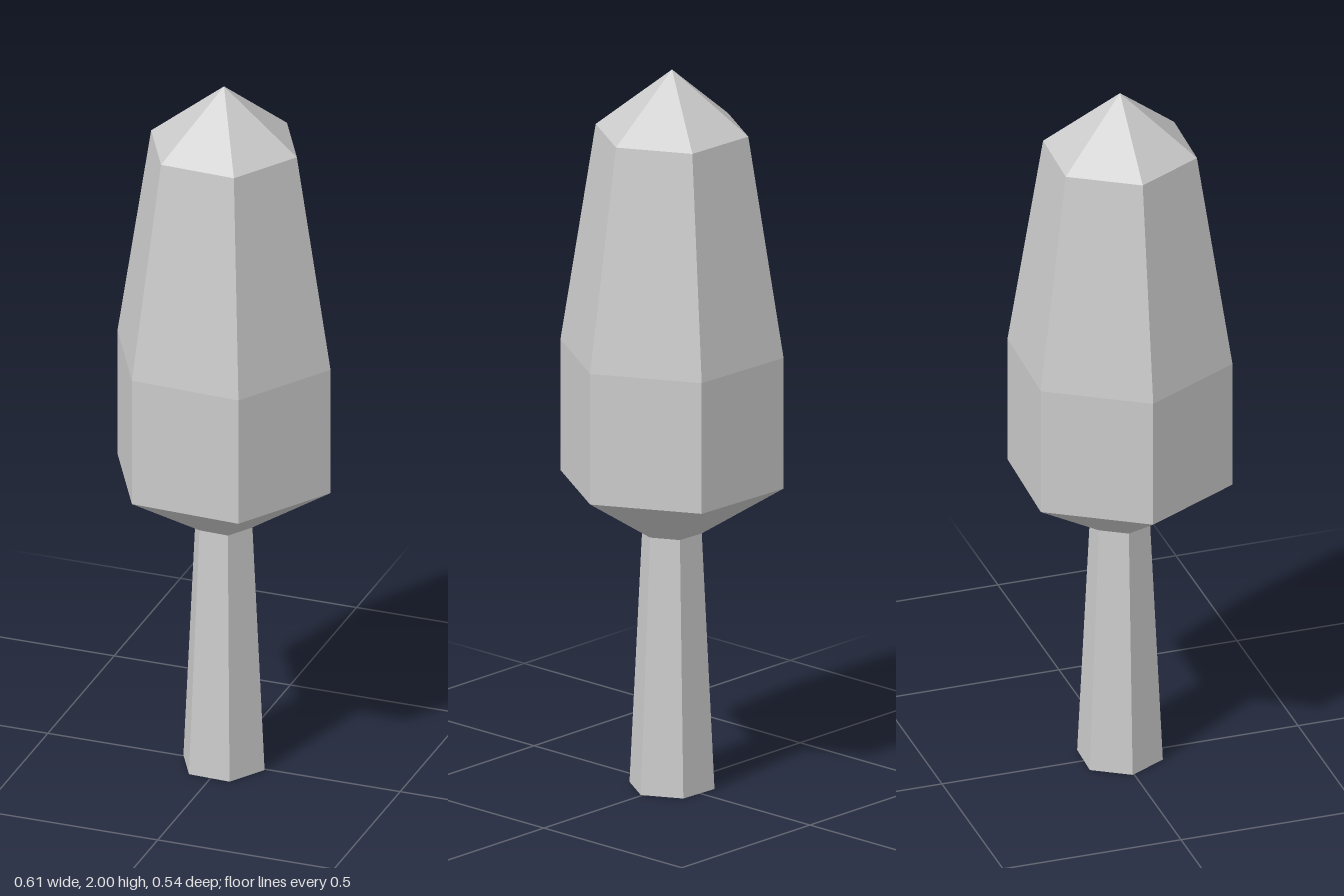
import * as THREE from 'three';

const TURN = THREE.MathUtils.degToRad(27.8); // slight twist of the hexagon

// Six-sided faceted solid from [radius, height] pairs, bottom to top
function hexLathe(name, profile, material) {
  const points = profile.map(([r, y]) => new THREE.Vector2(r, y));
  const mesh = new THREE.Mesh(new THREE.LatheGeometry(points, 6, TURN, Math.PI * 2), material);
  mesh.name = name;
  return mesh;
}

export function createModel() {
  const group = new THREE.Group();
  group.name = 'tree';
  const material = new THREE.MeshStandardMaterial({ color: 0xcccccc, flatShading: true });

  // Tapered trunk, closed underneath
  group.add(hexLathe('trunk', [[0, 0], [0.117, 0], [0.082, 0.711]], material));

  // Crown: flared underside, straight band, long taper, pointed cap
  group.add(hexLathe('crown', [
    [0.082, 0.711], [0.307, 0.855], [0.307, 1.22], [0.21, 1.83], [0, 2],
  ], material));

  return group;
}
